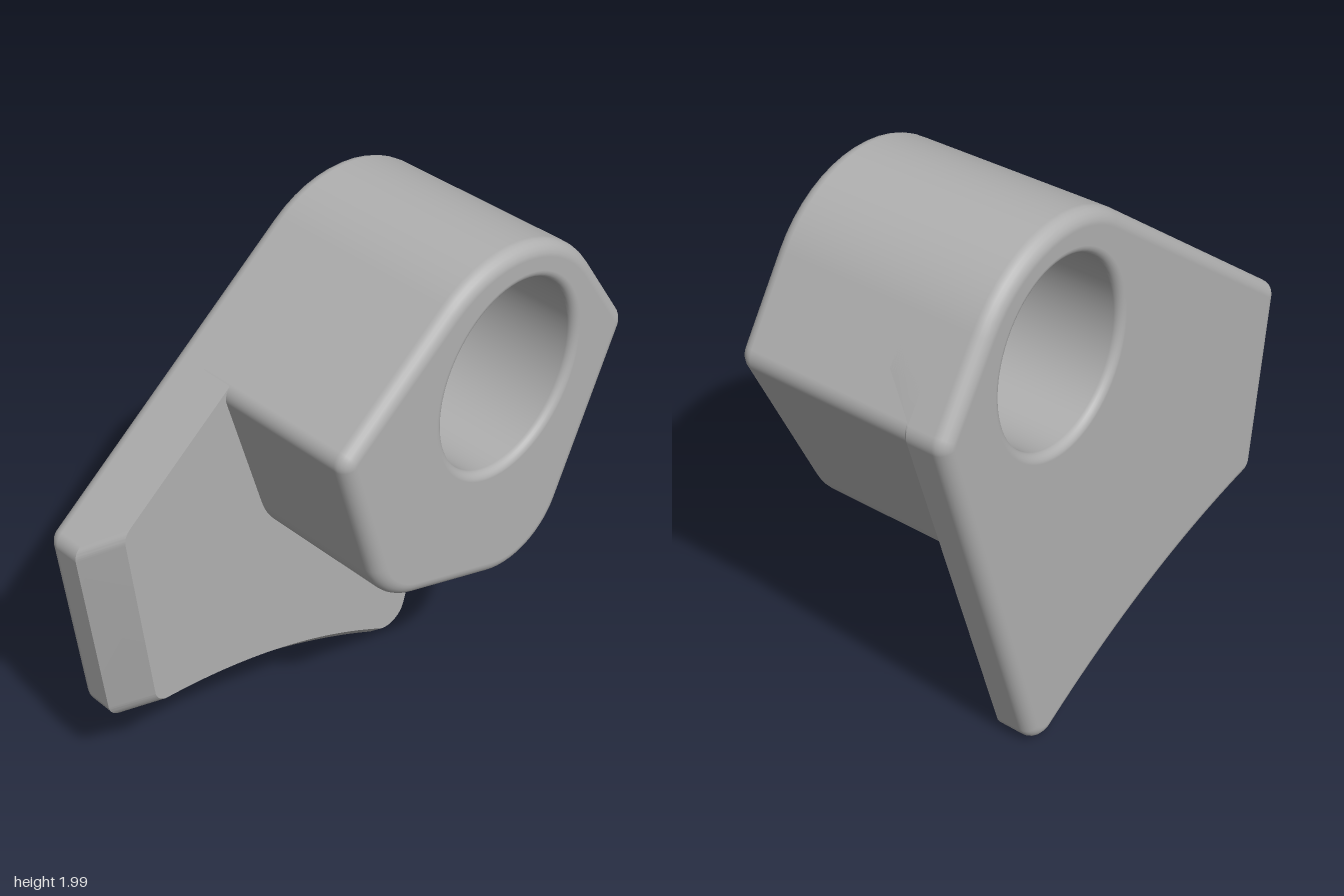
import * as THREE from 'three';
import { toCreasedNormals } from 'three/addons/utils/BufferGeometryUtils.js';

const BACK = -0.405, FRONT = 0.405, PLATE = -0.135, CHAMFER = -0.26;
const HOLE_LIP = 0.03, ROUND = 0.05;

// Corners run anticlockwise: x, y, radius; the edge that follows may be bowed or chamfered
const TOP = [{ x: 0.925, y: 1.51, r: 0.07 }, { x: 0.45, y: 2.2, r: 0.46 }];
const plateCorners = [
  { x: -0.838, y: 0.385, r: 0.06, bow: 0.06, chamfer: 0.11 },
  { x: 0.485, y: -0.02, r: 0.09, chamfer: 0.1 },
  ...TOP,
  { x: -0.92, y: 1.133, r: 0.06, chamfer: 0.115 },
];
const bossCorners = [
  { x: -0.2, y: 0.91, r: 0.27 },
  { x: 0.54, y: 0.665, r: 0.28 },
  ...TOP,
  { x: -0.385, y: 1.55, r: 0.06 },
];

// Rounded polygon, inset by d, with the chamfered edges inset further by c times their own amount
function outline(corners, d = 0, c = 0) {
  const n = corners.length, p = [], normals = [];
  const edges = corners.map((a, i) => {
    const b = corners[(i + 1) % n];
    const len = Math.hypot(b.x - a.x, b.y - a.y);
    const nx = (b.y - a.y) / len, ny = (a.x - b.x) / len;
    return { nx, ny, k: nx * a.x + ny * a.y - d - c * (a.chamfer || 0) };
  });
  const arcs = corners.map((corner, i) => {
    const e = edges[(i + n - 1) % n], f = edges[i];
    const r = Math.max(corner.r - d, 0.008);
    const det = e.nx * f.ny - e.ny * f.nx;
    const ek = e.k - r, fk = f.k - r;
    const cx = (ek * f.ny - fk * e.ny) / det, cy = (e.nx * fk - f.nx * ek) / det;
    const a0 = Math.atan2(e.ny, e.nx);
    const turn = Math.atan2(det, e.nx * f.nx + e.ny * f.ny);
    const steps = 14, points = [];
    for (let s = 0; s <= steps; s++) {
      const a = a0 + turn * s / steps, u = Math.cos(a), v = Math.sin(a);
      points.push([cx + r * u, cy + r * v, u, v]);
    }
    return points;
  });
  arcs.forEach((arc, i) => {
    arc.forEach(([x, y, u, v]) => { p.push([x, y]); normals.push([u, v]); });
    const bow = corners[i].bow;
    if (!bow) return;
    const a = arc[arc.length - 1], b = arcs[(i + 1) % n][0], { nx, ny } = edges[i];
    const len = Math.hypot(b[0] - a[0], b[1] - a[1]);
    for (let s = 1; s < 24; s++) {
      const t = s / 24, h = 4 * bow * t * (1 - t), slope = 4 * bow * (1 - 2 * t) / len;
      p.push([a[0] + (b[0] - a[0]) * t - nx * h, a[1] + (b[1] - a[1]) * t - ny * h]);
      const m = Math.hypot(1, slope);
      normals.push([(nx - ny * slope) / m, (ny + nx * slope) / m]);
    }
  });
  return { p, n: normals };
}

// Slightly tilted oval bore, widened by e; it runs clockwise so its wall faces inward
function bore(e = 0) {
  const p = [], n = [], a = 0.34 + e, b = 0.3 + e, cs = Math.cos(0.27), sn = Math.sin(0.27);
  for (let i = 0; i < 72; i++) {
    const t = -i / 72 * Math.PI * 2, u = Math.cos(t), v = Math.sin(t);
    p.push([0.352 + b * u * cs + a * v * sn, 1.53 - b * u * sn + a * v * cs]);
    const m = Math.hypot(a * u, b * v);
    n.push([-(a * u * cs + b * v * sn) / m, -(-a * u * sn + b * v * cs) / m]);
  }
  return { p, n };
}

// Wall through a stack of loops
function skin(rows) {
  const pos = [], nor = [], idx = [], count = rows[0].loop.p.length;
  rows.forEach(({ loop, z, tilt }, j) => loop.p.forEach(([x, y], i) => {
    const [u, v] = loop.n[i], c = Math.cos(tilt);
    pos.push(x, y, z);
    nor.push(u * c, v * c, Math.sin(tilt));
    if (j === rows.length - 1) return;
    const a = j * count + i, b = j * count + (i + 1) % count;
    idx.push(a, b, b + count, a, b + count, a + count);
  }));
  const g = new THREE.BufferGeometry();
  g.setAttribute('position', new THREE.Float32BufferAttribute(pos, 3));
  g.setAttribute('normal', new THREE.Float32BufferAttribute(nor, 3));
  g.setIndex(idx);
  return g;
}

// Quarter-round rows for a back edge (side -1) or a front edge (side 1)
function roundRows(makeLoop, z, r, side) {
  const rows = [];
  for (let s = 0; s <= 6; s++) {
    const tilt = (side < 0 ? s - 6 : s) / 6 * Math.PI / 2;
    rows.push({ loop: makeLoop(r * (1 - Math.cos(tilt))), z: z + r * (Math.sin(tilt) - side), tilt });
  }
  return rows;
}

// Flat face with the bore cut out
function face(loop, hole, z, backward) {
  const vec = l => l.p.map(([x, y]) => new THREE.Vector2(x, y));
  const shape = new THREE.Shape(vec(loop));
  shape.holes.push(new THREE.Path(vec(hole)));
  const g = new THREE.ShapeGeometry(shape);
  if (backward) {
    g.index.array.reverse();
    const n = g.attributes.normal;
    for (let i = 0; i < n.count; i++) n.setZ(i, -1);
  }
  return g.translate(0, 0, z);
}

export function createModel() {
  const model = new THREE.Group();
  model.name = 'bracket';
  const grey = new THREE.MeshStandardMaterial({ color: 0xb0b0b0 });
  grey.name = 'grey';
  const add = (parent, name, geometry) => {
    const mesh = new THREE.Mesh(geometry, grey);
    mesh.name = name;
    parent.add(mesh);
  };
  const group = name => {
    const g = new THREE.Group();
    g.name = name;
    model.add(g);
    return g;
  };

  // Base plate: rounded back edge, bevelled front edge
  const plate = group('basePlate');
  const plateLoop = d => outline(plateCorners, d);
  const bevelTop = outline(plateCorners, 0, 1);
  add(plate, 'plateSide', skin([
    ...roundRows(plateLoop, BACK, ROUND, -1),
    { loop: plateLoop(0), z: CHAMFER, tilt: 0 },
  ]));
  add(plate, 'plateBevel', toCreasedNormals(skin([
    { loop: plateLoop(0), z: CHAMFER, tilt: 0 },
    { loop: bevelTop, z: PLATE, tilt: 0 },
  ]), 0.5));
  add(plate, 'plateBack', face(plateLoop(ROUND), bore(HOLE_LIP), BACK, true));
  add(plate, 'plateFront', face(bevelTop, bore(), PLATE, false));

  // Thick boss standing on the plate, with a rounded front edge
  const boss = group('boss');
  const bossLoop = d => outline(bossCorners, d);
  add(boss, 'bossSide', skin([
    { loop: bossLoop(0), z: CHAMFER, tilt: 0 },
    ...roundRows(bossLoop, FRONT, ROUND, 1),
  ]));
  add(boss, 'bossFront', face(bossLoop(ROUND), bore(HOLE_LIP), FRONT, false));

  // Bore through both, with rounded lips
  add(model, 'boreWall', skin([
    ...roundRows(bore, BACK, HOLE_LIP, -1),
    ...roundRows(bore, FRONT, HOLE_LIP, 1),
  ]));
  return model;
}
